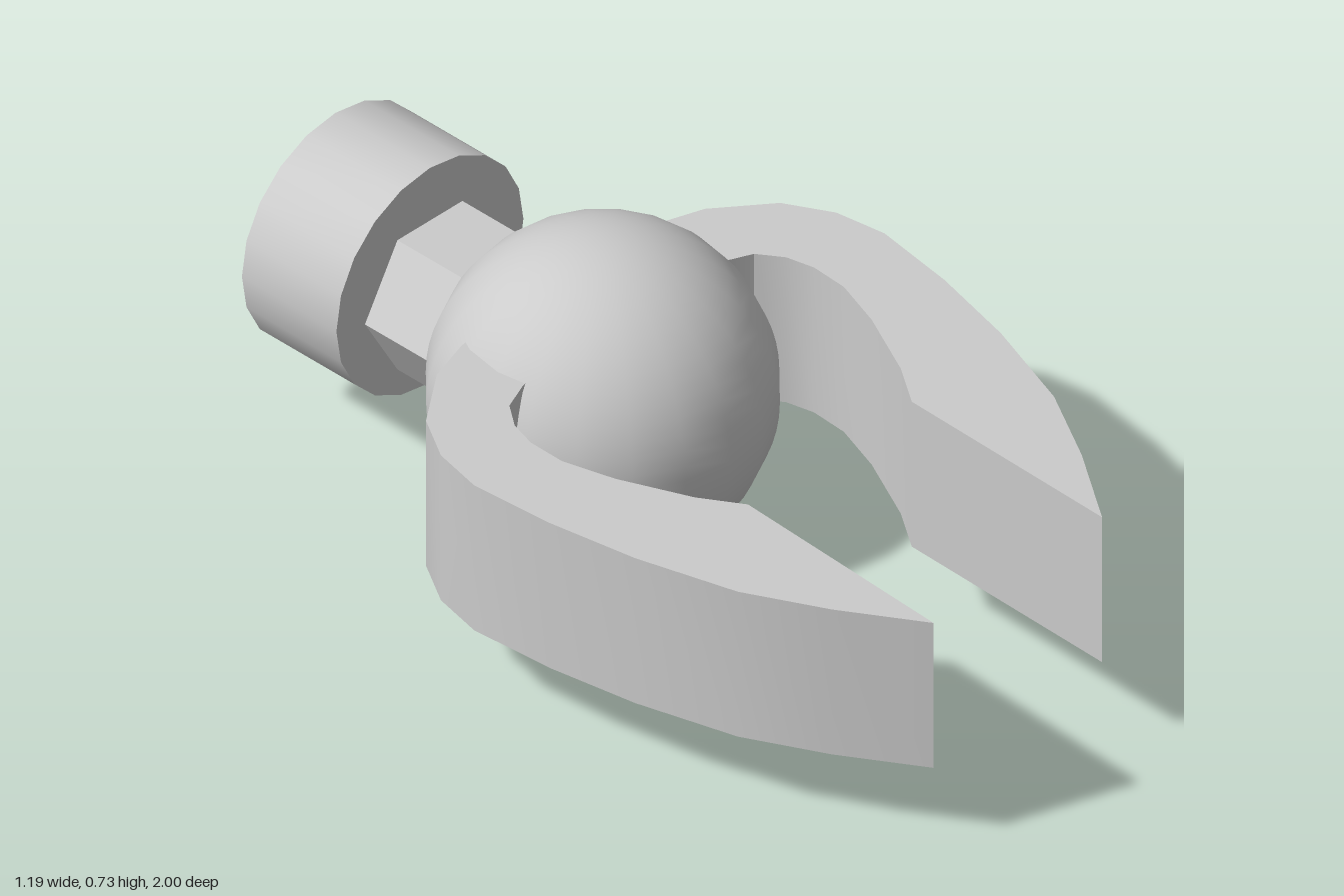
import * as THREE from 'three';
import { toCreasedNormals } from 'three/addons/utils/BufferGeometryUtils.js';

export function createModel() {
  const group = new THREE.Group();
  const grey = new THREE.MeshStandardMaterial({ color: 0xcccccc });
  const faceted = new THREE.MeshStandardMaterial({ color: 0xcccccc, flatShading: true });

  function add(name, geometry, x, y, z, material = grey) {
    const mesh = new THREE.Mesh(geometry, material);
    mesh.name = name;
    mesh.position.set(x, y, z);
    group.add(mesh);
  }

  // Ball body, slightly faceted around its vertical axis
  add('ballJoint', new THREE.SphereGeometry(0.365, 20, 32), 0.02, 0.37, -0.238);

  // Hexagonal neck running back from the ball, corners to the sides
  const neck = new THREE.CylinderGeometry(0.189, 0.189, 0.4, 6, 1, false, Math.PI / 2);
  neck.rotateX(-Math.PI / 2);
  add('hexNeck', neck, 0.018, 0.375, -0.54, faceted);

  // Round collar with a shallow socket in its rear face
  const collarProfile = [
    [0, 0.73], [0.272, 0.73], [0.272, 1], [0.128, 1], [0.128, 0.92], [0, 0.92],
  ].map(([r, h]) => new THREE.Vector2(r, h));
  const collar = new THREE.LatheGeometry(collarProfile, 20);
  collar.rotateX(-Math.PI / 2);
  add('collar', toCreasedNormals(collar, 0.5), 0.018, 0.4, 0);

  // Claw outline seen from above as [x, z]: outer edge, tip, then inner edge
  const outline = [
    [0.17, -0.37], [0.285, -0.354], [0.39, -0.32], [0.515, -0.225], [0.575, -0.12],
    [0.597, 0], [0.575, 0.2], [0.532, 0.41], [0.46, 0.64], [0.363, 0.82], [0.245, 1],
    [0.238, 0.445], [0.3, 0.35], [0.373, 0.19], [0.41, 0.07], [0.412, -0.02],
    [0.395, -0.085], [0.356, -0.14], [0.29, -0.168], [0.17, -0.19],
  ];

  // Mirrored pair, both leaning slightly to one side towards the tips
  function claw(name, side, bottom) {
    const points = outline.map(([x, z]) => new THREE.Vector2(side * x - 0.033 * z, -z));
    const geometry = new THREE.ExtrudeGeometry(new THREE.Shape(points), {
      depth: 0.367, bevelEnabled: false,
    });
    geometry.rotateX(-Math.PI / 2);
    add(name, toCreasedNormals(geometry, 0.5), 0, bottom, 0);
  }
  claw('leftClaw', 1, 0.212);
  claw('rightClaw', -1, 0.202);

  return group;
}
